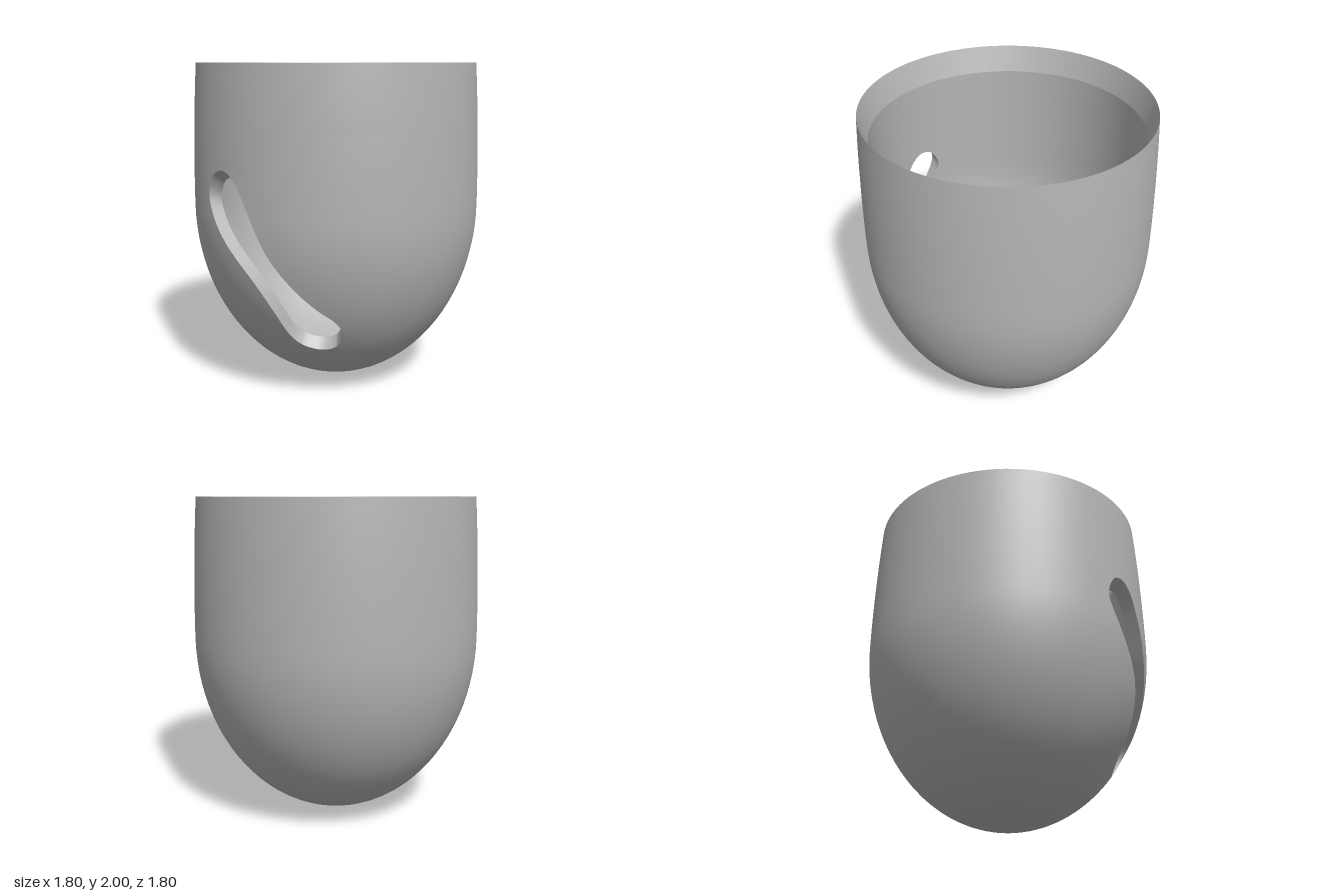
import * as THREE from 'three';

const SIDES = 96, LOW = 24, HIGH = 12, ROWS = LOW + HIGH, RING = 10;
const step = (Math.PI * 2) / SIDES;
const rowV = j => (j <= LOW ? j / LOW : 1 + (j - LOW) / HIGH);
const MID = 1.13; // height where the round bottom meets the upper wall

// Shell surfaces: v 0..1 is the elliptical bottom, v 1..2 the upper wall
const shell = (radius, bottom, top, taper) => (a, v) => {
  let r = radius, y;
  if (v < 1) {
    r *= Math.sin(v * Math.PI / 2);
    y = MID - (MID - bottom) * Math.cos(v * Math.PI / 2);
  } else {
    r -= taper * (v - 1) ** 2;
    y = MID + (v - 1) * (top - MID);
  }
  return [r * Math.sin(a), y, r * Math.cos(a)];
};
const outer = shell(0.9, 0, 2, 0.03);
const inner = shell(0.82, 0.085, 1.84, 0);

// Slot outline as seen from the front, counter-clockwise from its upper left
const slotCurve = new THREE.CatmullRomCurve3([
  [-0.295, 1.34], [-0.33, 1.24], [-0.29, 1.13], [-0.2, 1.0], [0.01, 0.76],
  [0.1, 0.58], [0.14, 0.44], [0.185, 0.37], [0.285, 0.335], [0.38, 0.37],
  [0.44, 0.48], [0.42, 0.555], [0.37, 0.61], [0.25, 0.757], [0.127, 0.937],
  [0.04, 1.11], [-0.02, 1.23], [-0.085, 1.335], [-0.17, 1.395], [-0.25, 1.385],
].map(([x, y]) => new THREE.Vector3(x, y, 0)), true);
const ANCHORS = [0, 7, 9, 17, 20]; // outline points paired with window corners

// Front position to surface coordinates (angle, v)
function toSurface({ x, y }) {
  const v = y < MID ? Math.acos(1 - y / MID) / (Math.PI / 2) : 1 + (y - MID) / (2 - MID);
  const r = v < 1 ? 0.9 * Math.sin(v * Math.PI / 2) : 0.9 - 0.03 * (v - 1) ** 2;
  return [Math.asin(x / r), v];
}

// Window of grid cells around the slot, with its rim paired to the slot outline
const I0 = -10, I1 = 14, J0 = 9, J1 = 31;
const corners = [[I0, J1], [I0, J0], [I1, J0], [I1, J1]];
const windowRim = [], slotRim = [];
corners.forEach(([i, j], c) => {
  const [ni, nj] = corners[(c + 1) % 4];
  const n = Math.abs(ni - i) + Math.abs(nj - j);
  for (let k = 0; k < n; k++) {
    const f = k / n;
    windowRim.push([Math.round(i + (ni - i) * f), Math.round(j + (nj - j) * f)]);
    const t = (ANCHORS[c] + (ANCHORS[c + 1] - ANCHORS[c]) * f) / 20;
    slotRim.push(toSurface(slotCurve.getPoint(t)));
  }
});
const COUNT = windowRim.length;

function makeGeometry(positions, index) {
  const g = new THREE.BufferGeometry();
  g.setAttribute('position', new THREE.Float32BufferAttribute(positions, 3));
  g.setIndex(index);
  g.computeVertexNormals();
  return g;
}

// One skin of the cup, with the slot left open
function skin(surface, inward) {
  const pos = [...surface(0, 0)], index = [];
  const tri = (a, b, c) => index.push(a, ...(inward ? [c, b] : [b, c]));
  const quad = (a, b, c, d) => { tri(a, b, c); tri(a, c, d); };
  const id = (i, j) => (j === 0 ? 0 : 1 + (j - 1) * SIDES + (i + SIDES) % SIDES);

  for (let j = 1; j <= ROWS; j++)
    for (let i = 0; i < SIDES; i++) pos.push(...surface(i * step, rowV(j)));
  for (let i = I0; i < I0 + SIDES; i++) {
    tri(0, id(i + 1, 1), id(i, 1));
    for (let j = 1; j < ROWS; j++) {
      if (i >= I0 && i < I1 && j >= J0 && j < J1) continue;
      quad(id(i, j), id(i + 1, j), id(i + 1, j + 1), id(i, j + 1));
    }
  }

  // Rings shrinking from the window to the slot
  let previous = windowRim.map(([i, j]) => id(i, j));
  for (let s = 1; s <= RING; s++) {
    const f = s / RING;
    const ring = windowRim.map(([i, j], k) => {
      const [a, v] = slotRim[k];
      pos.push(...surface(i * step * (1 - f) + a * f, rowV(j) * (1 - f) + v * f));
      return pos.length / 3 - 1;
    });
    for (let k = 0; k < COUNT; k++) {
      const n = (k + 1) % COUNT;
      quad(previous[k], previous[n], ring[n], ring[k]);
    }
    previous = ring;
  }
  return makeGeometry(pos, index);
}

// Wall through the thickness of the slot
function slotWall() {
  const pos = [], index = [];
  slotRim.forEach(([a, v], k) => {
    pos.push(...outer(a, v), ...inner(a, v));
    const o = 2 * k, n = 2 * ((k + 1) % COUNT);
    index.push(o, n, n + 1, o, n + 1, o + 1);
  });
  return makeGeometry(pos, index);
}

export function createModel() {
  const group = new THREE.Group();
  group.name = 'slottedCup';
  const grey = new THREE.MeshStandardMaterial({ color: 0xb4b4b4 });
  grey.name = 'grey';
  const add = (name, geometry) => {
    const mesh = new THREE.Mesh(geometry, grey);
    mesh.name = name;
    group.add(mesh);
  };
  add('outerShell', skin(outer, false));
  add('innerShell', skin(inner, true));
  add('slotWall', slotWall());
  // Bevelled lip sloping down into the cup
  add('rimBevel', new THREE.LatheGeometry(
    [new THREE.Vector2(0.87, 2), new THREE.Vector2(0.82, 1.84)], SIDES));
  return group;
}
